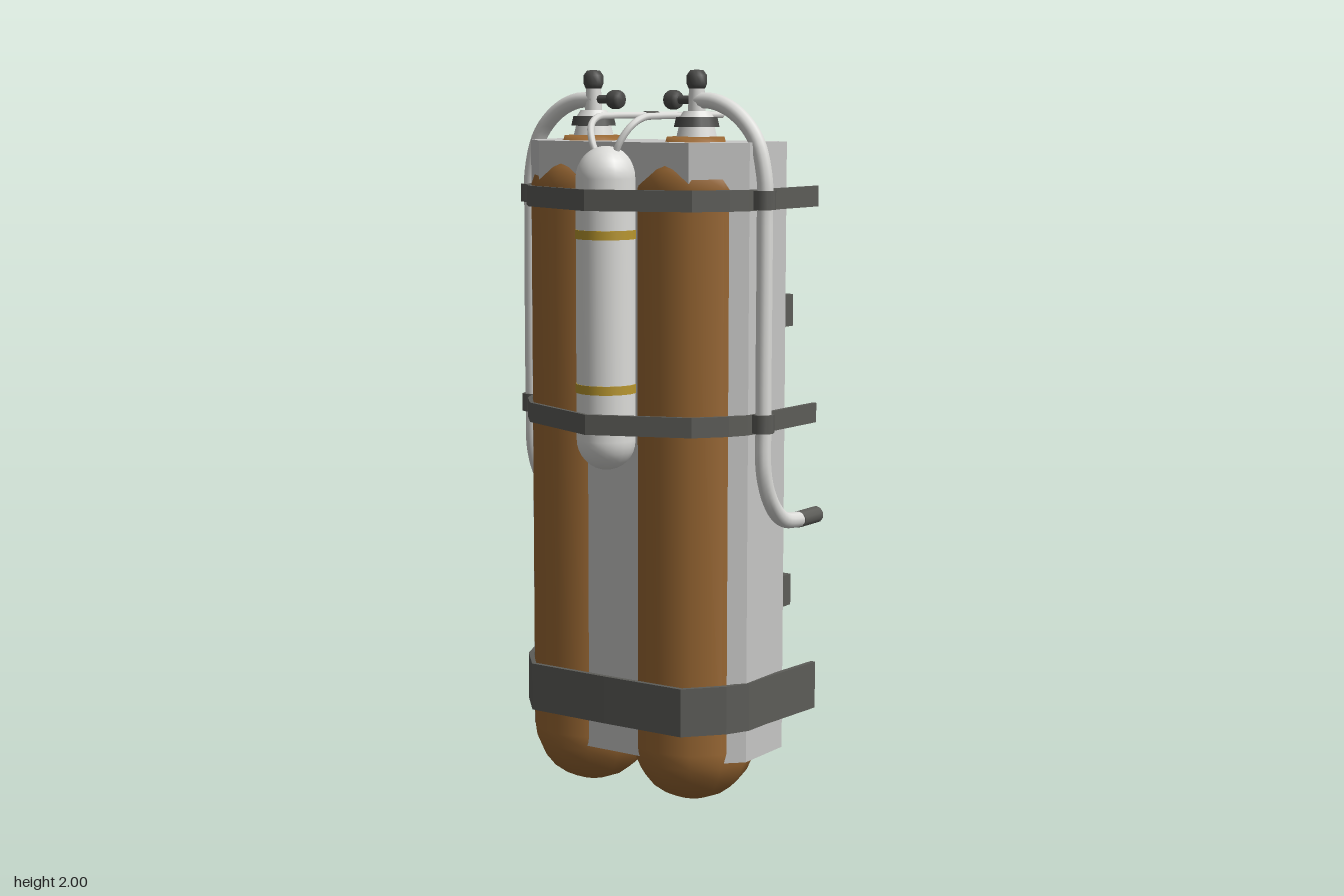
import * as THREE from 'three';

const mat = (name, color, side = THREE.FrontSide) => {
  const m = new THREE.MeshStandardMaterial({ color, side });
  m.name = name;
  return m;
};

export function createModel() {
  const group = new THREE.Group();
  const brown = mat('tank brown', 0x9a6833);
  const grey = mat('casing grey', 0xc6c6c5);
  const white = mat('bottle white', 0xdcdcd9);
  const dark = mat('strap dark grey', 0x5c5c58);
  const black = mat('knob dark grey', 0x4a4a48);
  const yellow = mat('band yellow', 0xb8962e);

  const add = (name, geo, material, x = 0, y = 0, z = 0) => {
    const m = new THREE.Mesh(geo, material);
    m.name = name;
    m.position.set(x, y, z);
    group.add(m);
    return m;
  };
  const lathe = (pts, sides) =>
    new THREE.LatheGeometry(pts.map(p => new THREE.Vector2(...p)), sides);
  // Outline given as [x, z], extruded upward from y0 to y1
  const slab = (pts, y0, y1) => {
    const shape = new THREE.Shape(pts.map(([x, z]) => new THREE.Vector2(x, -z)));
    const geo = new THREE.ExtrudeGeometry(shape, { depth: y1 - y0, bevelEnabled: false });
    return geo.rotateX(-Math.PI / 2).translate(0, y0, 0);
  };
  const tube = (pts, r, segs = 40, sides = 10) => new THREE.TubeGeometry(
    new THREE.CatmullRomCurve3(pts.map(p => new THREE.Vector3(...p)), false, 'centripetal'), segs, r, sides);

  // Strap running round the front: half path of outer points, mirrored
  const strap = (name, half, thick, y0, y1) => {
    const mirror = half.filter(p => p[0] > 0).map(([x, z]) => [-x, z]).reverse();
    const outer = [...mirror, ...half];
    const inner = outer.map(([x, z], i) => {
      const a = outer[Math.max(i - 1, 0)], b = outer[Math.min(i + 1, outer.length - 1)];
      const dx = b[0] - a[0], dz = b[1] - a[1], l = Math.hypot(dx, dz);
      return [x + dz / l * thick, z - dx / l * thick];
    });
    add(name, slab([...outer, ...inner.reverse()], y0, y1), dark);
  };

  // Casing with cut front corners
  add('casing', slab([[-0.36, -0.15], [-0.36, 0.035], [-0.245, 0.15],
    [0.245, 0.15], [0.36, 0.035], [0.36, -0.15]], 0.14, 1.81), grey);

  // Carrying bars across the back
  for (const y of [0.558, 1.345])
    add('backBar', new THREE.BoxGeometry(0.61, 0.088, 0.135), dark, 0, y, -0.2125);

  // Straps
  for (const [y0, y1] of [[1.632, 1.688], [1.038, 1.092]])
    strap('upperStrap', [[0, 0.277], [0.268, 0.168], [0.335, 0.09], [0.362, 0.04],
      [0.372, -0.03], [0.383, -0.28]], 0.012, y0, y1);
  strap('lowerStrap', [[0, 0.193], [0.25, 0.19], [0.335, 0.095], [0.366, 0.03],
    [0.368, -0.05], [0.388, -0.28]], 0.014, 0.228, 0.36);

  // Small front bottle
  const bottle = [];
  for (let i = 0; i <= 8; i++) {
    const a = -Math.PI / 2 + i * Math.PI / 16;
    bottle.push([0.081 * Math.cos(a), 1.015 + 0.083 * Math.sin(a)]);
  }
  for (let i = 0; i <= 8; i++) {
    const a = i * Math.PI / 16;
    bottle.push([0.081 * Math.cos(a), 1.715 + 0.085 * Math.sin(a)]);
  }
  add('smallBottle', lathe(bottle, 20), white, 0, 0, 0.178);
  for (const y of [1.155, 1.567])
    add('bottleBand', new THREE.CylinderGeometry(0.083, 0.083, 0.024, 20), yellow, 0, y, 0.178);

  // Main tank profile: round base, straight wall, sloping shoulder
  const tank = [];
  for (let i = 0; i <= 6; i++) {
    const a = -Math.PI / 2 + i * Math.PI / 12;
    tank.push([0.17 * Math.cos(a), 0.165 + 0.16 * Math.sin(a)]);
  }
  tank.push([0.17, 1.69], [0.152, 1.74], [0.115, 1.79], [0.08, 1.812], [0.077, 1.823], [0, 1.825]);

  for (const s of [1, -1]) {
    const x = 0.17 * s;
    add('tank', lathe(tank, 12), brown, x, 0, 0.005);

    // Valve on top of the tank
    add('valveBase', new THREE.CylinderGeometry(0.048, 0.055, 0.03, 16), white, x, 1.838, 0);
    add('valveCollar', new THREE.CylinderGeometry(0.056, 0.062, 0.026, 16), black, x, 1.862, 0);
    add('valveCap', new THREE.CylinderGeometry(0.036, 0.046, 0.016, 16), white, x, 1.883, 0);
    add('valveStem', new THREE.CylinderGeometry(0.02, 0.024, 0.09, 12), white, x, 1.925, 0);
    add('topKnob', lathe([[0, 1.945], [0.022, 1.95], [0.027, 1.962], [0.027, 1.985],
      [0.018, 1.998], [0, 2]], 12), black, x, 0, 0);
    const arm = add('valveArm', new THREE.CylinderGeometry(0.012, 0.012, 0.07, 10), black, 0.13 * s, 1.92, 0);
    arm.rotation.z = Math.PI / 2;
    const knob = add('sideKnob', lathe([[0, -0.022], [0.02, -0.02], [0.026, -0.01],
      [0.026, 0.01], [0.02, 0.02], [0, 0.022]], 12), black, 0.095 * s, 1.92, 0);
    knob.rotation.z = Math.PI / 2;

    // Side hose with its nozzle
    add('hose', tube([[0.165, 1.92, 0], [0.23, 1.915, 0], [0.295, 1.885, 0], [0.355, 1.82, 0],
      [0.384, 1.72, 0], [0.386, 1.6, 0], [0.386, 1.05, 0], [0.386, 0.93, -0.005],
      [0.386, 0.85, -0.04], [0.386, 0.795, -0.1], [0.386, 0.78, -0.19], [0.386, 0.78, -0.265]]
      .map(([px, py, pz]) => [px * s, py, pz]), 0.022, 80), white);
    const nozzle = add('hoseNozzle', new THREE.CylinderGeometry(0.0235, 0.0235, 0.095, 10),
      dark, 0.386 * s, 0.78, -0.2325);
    nozzle.rotation.x = Math.PI / 2;

    // Clamps holding the hose to the straps
    for (const y of [1.66, 1.067])
      add('hoseClamp', new THREE.CylinderGeometry(0.031, 0.031, 0.05, 8), dark, 0.385 * s, y, 0);

    // Thin pipe from the small bottle over the top
    add('thinPipe', tube([[0.025, 1.765, 0.18], [0.045, 1.81, 0.178], [0.065, 1.852, 0.155],
      [0.074, 1.873, 0.115], [0.075, 1.877, 0.05], [0.075, 1.877, -0.1], [0.075, 1.877, -0.268]]
      .map(([px, py, pz]) => [px * s, py, pz]), 0.0095, 48, 8), white);
    const sleeve = add('pipeSleeve', new THREE.CylinderGeometry(0.011, 0.011, 0.06, 8),
      dark, 0.075 * s, 1.877, -0.14);
    sleeve.rotation.x = Math.PI / 2;
    const tip = add('pipeTip', new THREE.CircleGeometry(0.0095, 8), dark, 0.075 * s, 1.877, -0.269);
    tip.rotation.y = Math.PI;
  }
  return group;
}
